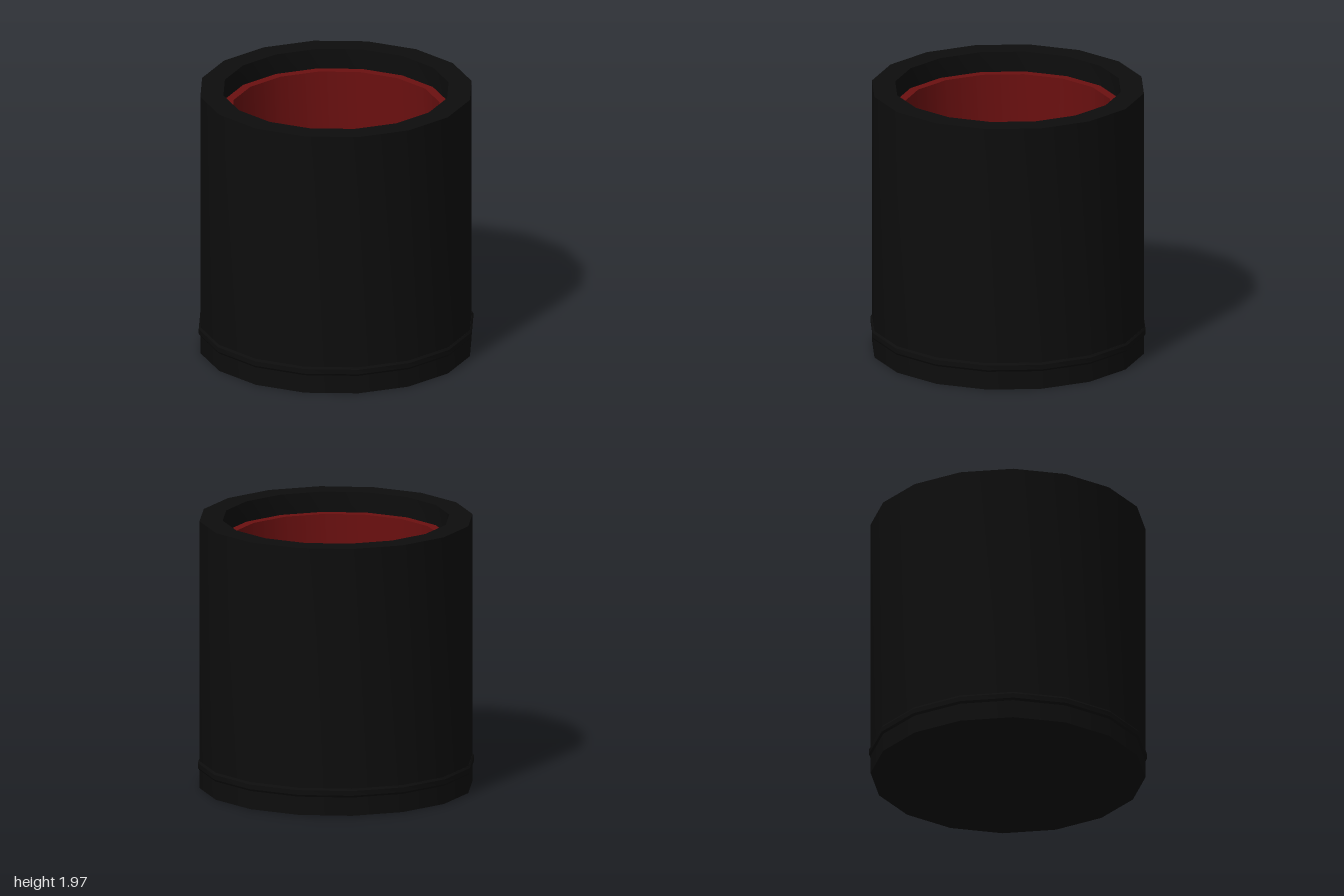
import * as THREE from 'three';
import { toCreasedNormals } from 'three/addons/utils/BufferGeometryUtils.js';

const SIDES = 16;

// Revolved part; profile runs up the outside, then in and down the inside
function turned(name, profile, material) {
  const points = profile.map(([r, y]) => new THREE.Vector2(r, y));
  const geometry = toCreasedNormals(new THREE.LatheGeometry(points, SIDES), Math.PI / 6);
  const mesh = new THREE.Mesh(geometry, material);
  mesh.name = name;
  return mesh;
}

export function createModel() {
  const black = new THREE.MeshStandardMaterial({ color: 0x0d0d0d });
  const red = new THREE.MeshStandardMaterial({ color: 0x6b1010 });
  const cup = new THREE.Group();
  cup.name = 'diceCup';

  // Outer shell: closed base, straight wall, thick rim and short inner lip
  cup.add(turned('shell', [
    [0, 0], [0.988, 0], [0.988, 1.97], [0.82, 1.97], [0.82, 1.82],
  ], black));

  // Lining: ledge below the rim, inner wall and floor
  cup.add(turned('lining', [
    [0.82, 1.82], [0.755, 1.82], [0.755, 0.16], [0, 0.16],
  ], red));

  // Raised bead around the foot
  cup.add(turned('footBead', [
    [0.975, 0.135], [0.99, 0.135], [1, 0.15], [1, 0.185], [0.99, 0.2], [0.975, 0.2],
  ], black));

  return cup;
}
